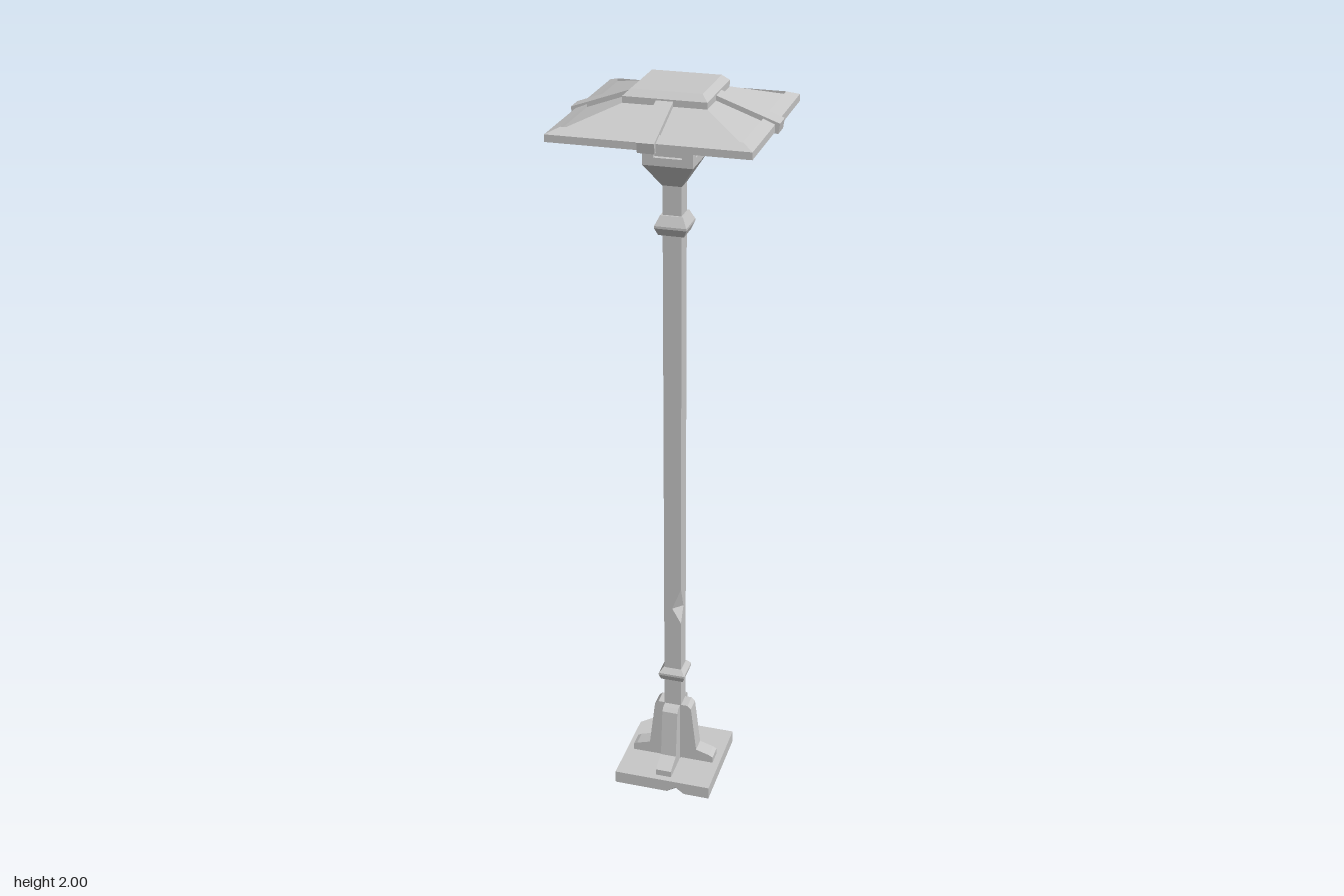
import * as THREE from 'three';

const stone = new THREE.MeshStandardMaterial({ color: 0xc8c8c8 });
stone.name = 'pale grey';

// Split faces so every facet has its own normal
function facet(geometry) {
  const g = geometry.index ? geometry.toNonIndexed() : geometry;
  g.computeVertexNormals();
  return g;
}

function add(parent, name, geometry) {
  const mesh = new THREE.Mesh(facet(geometry), stone);
  mesh.name = name;
  parent.add(mesh);
  return mesh;
}

// Square turned form; profile is [half width, height] from bottom to top
function square(profile) {
  const pts = profile.map(([h, y]) => new THREE.Vector2(h * Math.SQRT2, y));
  return new THREE.LatheGeometry(pts, 4).rotateY(Math.PI / 4);
}

// Skin through rings of [x, z] points, fan-capped at both ends
function loft(sections) {
  const pos = [];
  const put = (...pts) => pts.forEach((p) => pos.push(...p));
  const rings = sections.map(({ y, ring }) => ring.map(([x, z]) => [x, y, z]));
  const n = rings[0].length;
  const last = rings.length - 1;
  for (let i = 0; i < n; i++) {
    const j = (i + 1) % n;
    for (let k = 0; k < last; k++) {
      const lo = rings[k], hi = rings[k + 1];
      put(lo[i], lo[j], hi[j], lo[i], hi[j], hi[i]);
    }
    put([0, sections[0].y, 0], rings[0][j], rings[0][i]);
    put([0, sections[last].y, 0], rings[last][i], rings[last][j]);
  }
  const g = new THREE.BufferGeometry();
  g.setAttribute('position', new THREE.Float32BufferAttribute(pos, 3));
  return g;
}

// Flat plate with an outline in [outward, height], centred on its thickness
function plate(outline, width) {
  const shape = new THREE.Shape(outline.map(([r, y]) => new THREE.Vector2(r, y)));
  return new THREE.ExtrudeGeometry(shape, { depth: width, bevelEnabled: false })
    .translate(0, 0, -width / 2);
}

export function createModel() {
  const model = new THREE.Group();
  model.name = 'lampPost';
  const column = new THREE.Group();
  column.name = 'column';
  column.position.x = -0.005;
  model.add(column);

  // Base slab with a chipped back corner and a notch in the front bottom edge
  const b = 0.137;
  const slabRing = (chip, notch) => [
    [-b, b], [0.04 - 0.025 * notch, b], [0.04, b - 0.025 * notch], [0.04 + 0.025 * notch, b],
    [b, b], [b, -b], [-b + chip, -b], [-b, -b + chip],
  ];
  add(column, 'baseSlab', loft([
    { y: 0, ring: slabRing(0, 1) },
    { y: 0.018, ring: slabRing(0.005, 0) },
    { y: 0.036, ring: slabRing(0.03, 0) },
  ]));

  // Square shaft with two chipped edges
  const c = 0.024;
  const shaftRing = (front, back) => [
    [-c, c], [c - front, c], [c, c - front], [c, -c], [-c + back, -c], [-c, -c + back],
  ];
  add(column, 'shaft', loft([
    { y: 0.03, ring: shaftRing(0, 0) },
    { y: 0.495, ring: shaftRing(0, 0) },
    { y: 0.54, ring: shaftRing(0.025, 0) },
    { y: 0.605, ring: shaftRing(0, 0) },
    { y: 1.485, ring: shaftRing(0, 0) },
    { y: 1.52, ring: shaftRing(0, 0.025) },
    { y: 1.61, ring: shaftRing(0, 0) },
    { y: 1.77, ring: shaftRing(0, 0) },
  ]));

  // Four stepped buttresses around the foot
  for (let i = 0; i < 4; i++) {
    add(column, 'buttress', plate([
      [0, 0.03], [0.118, 0.03], [0.118, 0.054], [0.108, 0.06], [0.069, 0.072],
      [0.053, 0.21], [0.043, 0.22], [0, 0.22],
    ], 0.044)).rotation.y = i * Math.PI / 2;
  }

  // Collars
  add(column, 'lowerCollar', square([
    [0, 0.307], [0.032, 0.307], [0.037, 0.322], [0.037, 0.328], [0.026, 0.342], [0, 0.342],
  ]));
  add(column, 'upperCollar', square([
    [0, 1.625], [0.033, 1.625], [0.041, 1.644], [0.041, 1.65], [0.029, 1.675], [0, 1.675],
  ]));

  // Lamp head: flared cup, recessed core and corner posts
  add(column, 'headCup', square([
    [0, 1.75], [0.025, 1.75], [0.063, 1.81], [0.063, 1.83], [0, 1.83],
  ]));
  add(column, 'headCore', square([[0.05, 1.825], [0.05, 1.96], [0, 1.96]]));
  for (const x of [-1, 1]) {
    for (const z of [-1, 1]) {
      add(column, 'headPost', new THREE.BoxGeometry(0.027, 0.115, 0.027)
        .translate(x * 0.0495, 1.8875, z * 0.0495));
    }
  }

  // Hollow roof with a raised rim
  const roof = new THREE.Group();
  roof.name = 'roof';
  model.add(roof);
  add(roof, 'roofShell', square([
    [0, 1.955], [0.1, 1.955], [0.217, 1.916], [0.217, 1.907], [0.246, 1.905],
    [0.246, 1.923], [0.217, 1.935], [0.217, 1.928], [0.1, 1.97], [0, 1.97],
  ]));
  add(roof, 'roofCap', square([
    [0, 1.945], [0.103, 1.945], [0.103, 1.985], [0.087, 2], [0, 2],
  ]));

  // Ribs crossing the roof
  for (let i = 0; i < 4; i++) {
    add(roof, 'roofRib', plate([
      [0.06, 1.948], [0.1, 1.944], [0.205, 1.907], [0.254, 1.901],
      [0.258, 1.926], [0.103, 1.981], [0.06, 1.981],
    ], i % 2 ? 0.042 : 0.05)).rotation.y = i * Math.PI / 2;
  }
  return model;
}
